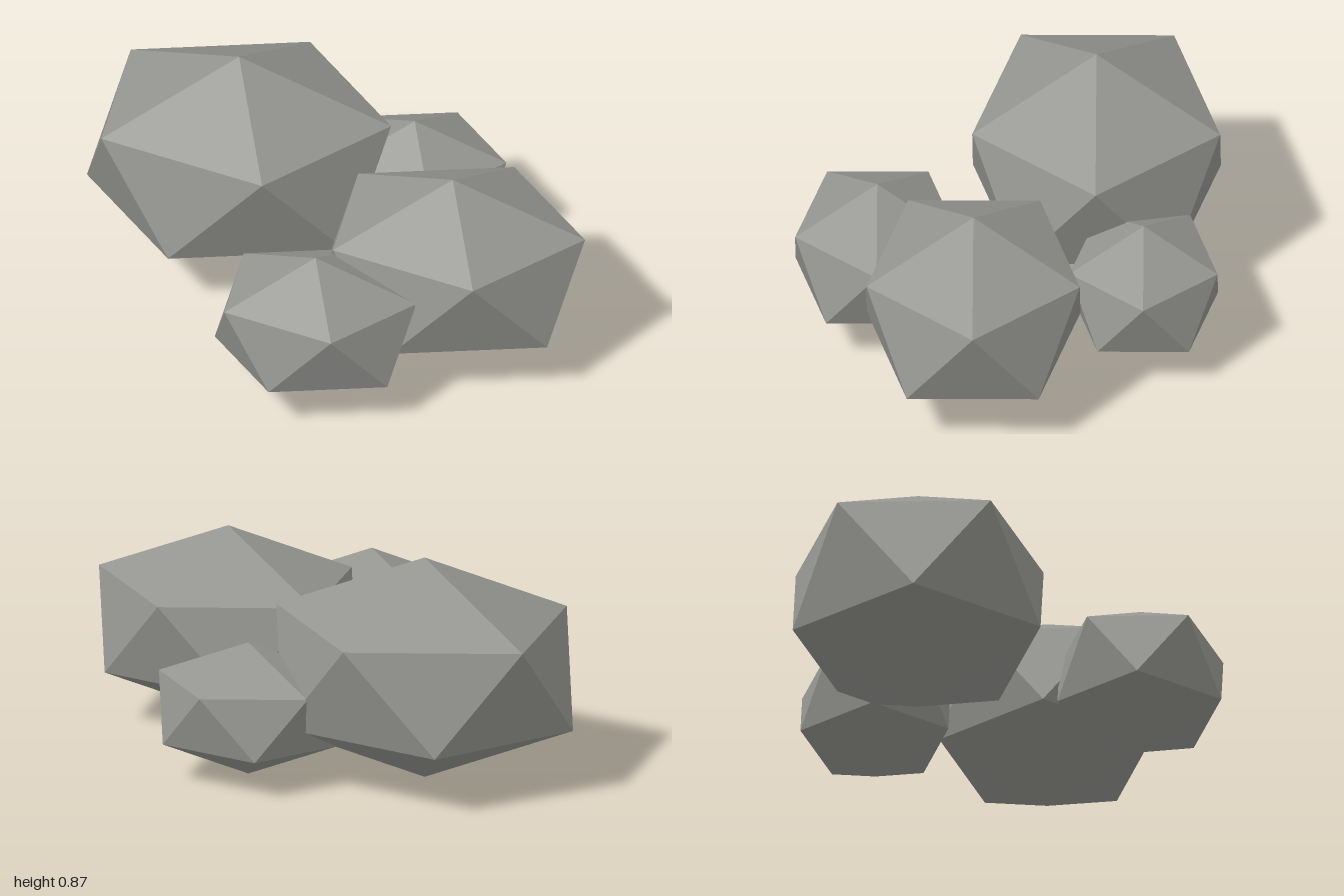
import * as THREE from 'three';

const stone = new THREE.MeshStandardMaterial({ color: 0x949490 });
stone.name = 'stone grey';
stone.flatShading = true;

// Each rock: name, centre, half-sizes along x, y, z of its squashed icosahedron
const rocks = [
  ['largeRock', [-0.415, 0.44, -0.335], [0.649, 0.435, 0.546]],
  ['mediumRock', [0.49, 0.385, 0.12], [0.565, 0.375, 0.47]],
  ['smallFrontRock', [0.038, 0.305, 0.483], [0.43, 0.29, 0.361]],
  ['smallBackRock', [0.22, 0.275, -0.516], [0.391, 0.26, 0.326]],
];

// Icosahedron standing on one corner, with an upper-ring corner pointing to +x
function rockGeometry(size) {
  const golden = (1 + Math.sqrt(5)) / 2;
  return new THREE.IcosahedronGeometry(1, 0)
    .rotateZ(-Math.atan(1 / golden))
    .scale(...size);
}

export function createModel() {
  const group = new THREE.Group();
  group.name = 'rockCluster';
  for (const [name, centre, size] of rocks) {
    const rock = new THREE.Mesh(rockGeometry(size), stone);
    rock.name = name;
    rock.position.set(...centre);
    group.add(rock);
  }
  return group;
}
